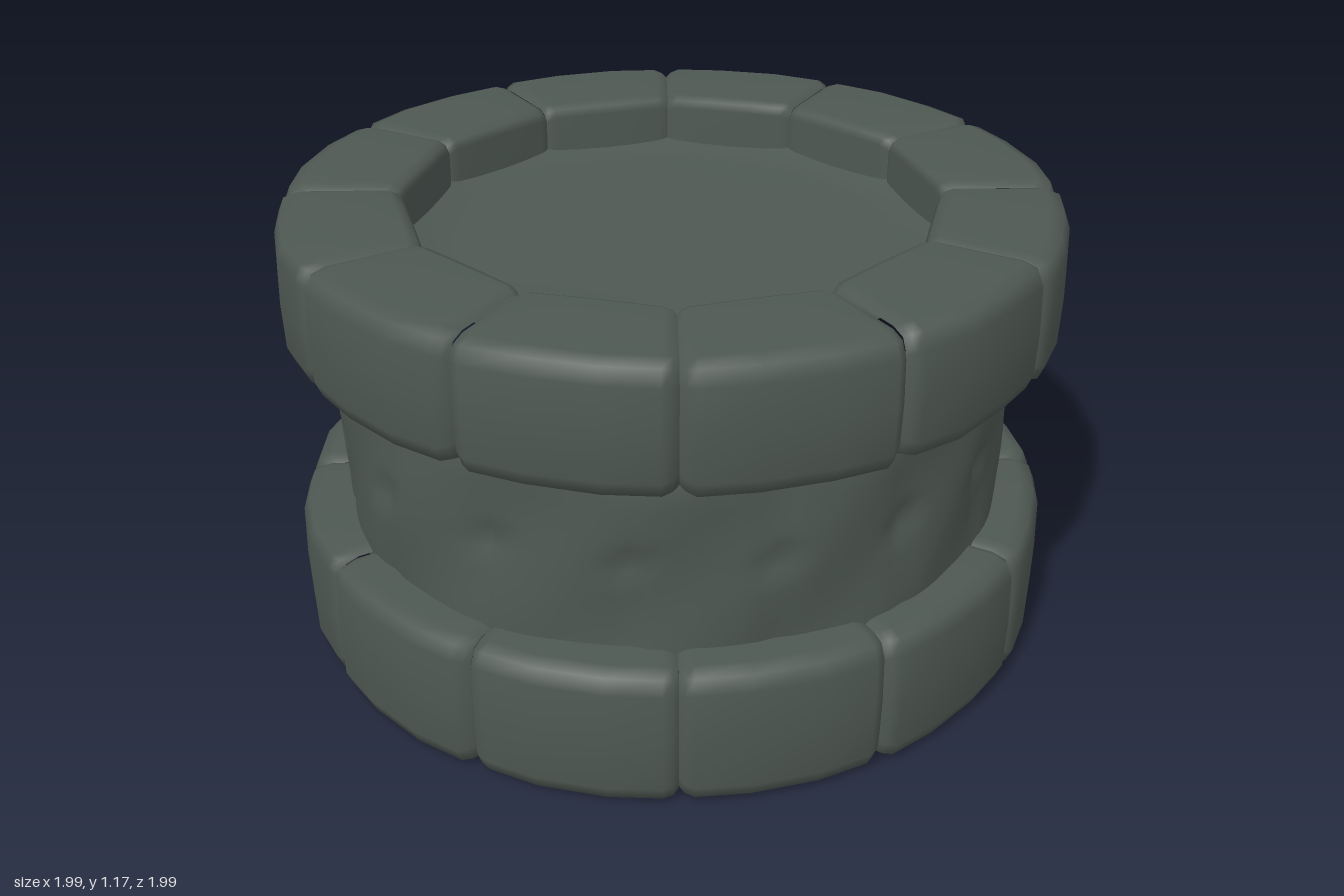
import * as THREE from 'three';

const rad = THREE.MathUtils.degToRad;

// small seeded random in -1..1
function seeded(seed) {
  let s = seed;
  return () => {
    s = (s * 16807) % 2147483647;
    return (s / 2147483647) * 2 - 1;
  };
}

// surface through a grid of points; rows run around the axis
function gridGeometry(rows) {
  const n = rows[0].length;
  const index = [];
  for (let i = 0; i < rows.length - 1; i++) {
    for (let j = 0; j < n - 1; j++) {
      const a = i * n + j, b = a + n;
      index.push(a, b, b + 1, a, b + 1, a + 1);
    }
  }
  const geo = new THREE.BufferGeometry();
  geo.setAttribute('position', new THREE.Float32BufferAttribute(rows.flat(2), 3));
  geo.setIndex(index);
  geo.computeVertexNormals();
  return geo;
}

const polar = (r, y, a) => [r * Math.sin(a), y, r * Math.cos(a)];

// one curved kerb stone with rounded edges, pinched in at both joints
function stoneGeometry(start, y0, y1, rand) {
  const mid = start + 15;
  const lift = rand() * 0.004;
  const outs = [rand(), rand(), rand()].map((v) => v * 0.005);
  const steps = [[0, 0.026], [0.8, 0.012], [2.2, 0.002], [10, 0], [20, 0], [27.8, 0.002], [29.2, 0.012], [30, 0.026]];
  const rows = steps.map(([d, inset], k) => {
    const deg = start + d;
    const ri = 0.68 * Math.cos(rad(15)) / Math.cos(rad(deg - mid)) + inset * 0.3;
    const ro = 0.995 - inset + (k > 1 && k < 6 ? outs[k % 3] : 0);
    const b = y0 + inset * 0.6 + lift, t = y1 - inset * 0.6 + lift;
    const profile = [
      [ri, b + 0.03], [ri + 0.01, b + 0.01], [ri + 0.035, b],
      [ro - 0.055, b], [ro - 0.02, b + 0.012], [ro - 0.004, b + 0.05],
      [ro, (b + t) / 2],
      [ro - 0.004, t - 0.05], [ro - 0.02, t - 0.012], [ro - 0.055, t],
      [ri + 0.035, t], [ri + 0.01, t - 0.01], [ri, t - 0.03],
      [ri, b + 0.03],
    ];
    return profile.map(([r, y]) => polar(r, y, rad(deg)));
  });
  return gridGeometry(rows);
}

// ring of twelve stones
function stoneRing(name, y0, y1, material, seed) {
  const ring = new THREE.Group();
  ring.name = name;
  const rand = seeded(seed);
  for (let i = 0; i < 12; i++) {
    const stone = new THREE.Mesh(stoneGeometry(i * 30, y0, y1, rand), material);
    stone.name = 'kerbStone';
    ring.add(stone);
  }
  return ring;
}

// worn drum wall: gentle unevenness, chips along the middle course, one sloping lump at the foot
function wallGeometry() {
  const rows = [];
  const around = 128, up = 16;
  for (let i = 0; i <= around; i++) {
    const a = (i / around) * Math.PI * 2;
    const row = [];
    for (let j = 0; j <= up; j++) {
      const y = 0.34 + (j / up) * 0.54;
      let r = 0.875 + 0.007 * Math.sin(a * 5 + y * 6) + 0.005 * Math.sin(a * 11 - y * 13);
      const toJoint = Math.abs(((a * 16) / (Math.PI * 2) + 0.5) % 1 - 0.5);
      r -= 0.02 * Math.max(0, 1 - toJoint * 5) * Math.max(0, 1 - Math.abs(y - 0.6) / 0.05);
      r -= 0.006 * Math.max(0, 1 - toJoint * 7);
      r -= 0.015 * Math.max(0, (y - 0.8) / 0.08);
      const lump = Math.max(0, 1 - Math.abs(a - Math.PI * 1.5) / 0.26);
      r += Math.min(1, lump * 2) * 0.1 * THREE.MathUtils.clamp((0.48 - y) / 0.12, 0, 1);
      row.push(polar(r, y, a));
    }
    rows.push(row);
  }
  return gridGeometry(rows);
}

// shallow dished panel closing a ring
function panel(name, points, material) {
  const geo = new THREE.LatheGeometry(points.map(([r, y]) => new THREE.Vector2(r, y)), 48);
  const mesh = new THREE.Mesh(geo, material);
  mesh.name = name;
  return mesh;
}

export function createModel() {
  const model = new THREE.Group();
  model.name = 'stoneWell';

  const stone = new THREE.MeshStandardMaterial({ color: 0x4e5852 });
  stone.name = 'dark grey green stone';

  model.add(stoneRing('lowerRing', 0.008, 0.378, stone, 11));
  model.add(stoneRing('upperRing', 0.842, 1.172, stone, 47));

  const wall = new THREE.Mesh(wallGeometry(), stone);
  wall.name = 'drumWall';
  model.add(wall);

  // recessed panels, facing up and down
  model.add(panel('topPanel', [[0.72, 1.06], [0.64, 1.035], [0.56, 1.025], [0, 1.02]], stone));
  model.add(panel('bottomPanel', [[0, 0.13], [0.56, 0.125], [0.64, 0.115], [0.72, 0.09]], stone));

  return model;
}
